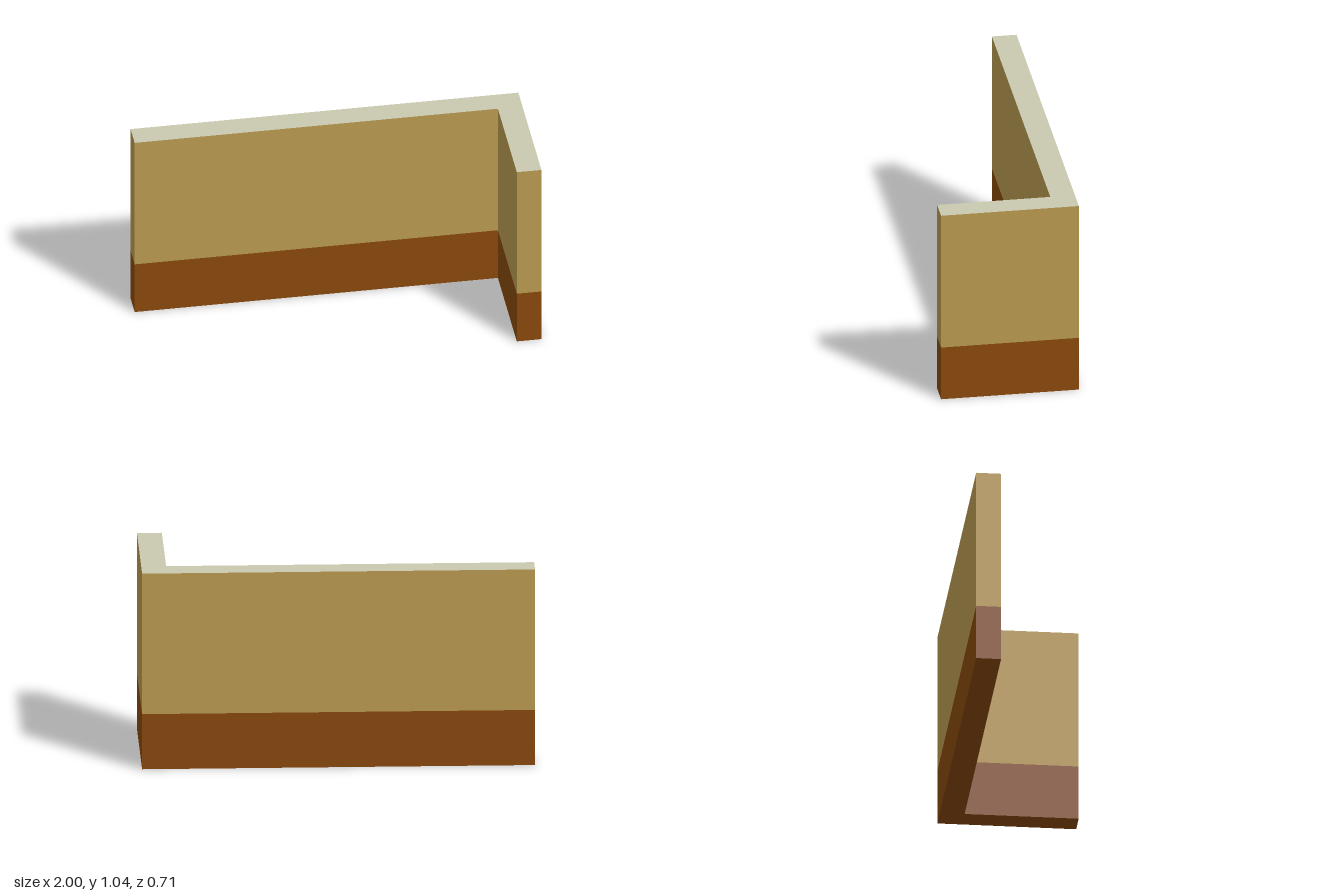
import * as THREE from 'three';

const HEIGHT = 1.04, SPLIT = 0.293, THICK = 0.127, HALF_DEPTH = 0.355;

export function createModel() {
  const paint = (name, color) => {
    const material = new THREE.MeshStandardMaterial({ color });
    material.name = name;
    return material;
  };
  const materials = [
    paint('brown lower wall', 0x8b490c),
    paint('tan upper wall', 0xbd9c52),
    paint('pale wall top', 0xcacab0),
  ];

  // L-shaped plan: long back wall with a short return on the model's left
  const plan = new THREE.Shape([
    [-1, HALF_DEPTH - THICK], [1 - THICK, HALF_DEPTH - THICK],
    [1 - THICK, -HALF_DEPTH], [1, -HALF_DEPTH],
    [1, HALF_DEPTH], [-1, HALF_DEPTH],
  ].map(([x, y]) => new THREE.Vector2(x, y)));
  const geometry = new THREE.ExtrudeGeometry(plan, { depth: HEIGHT, steps: 2, bevelEnabled: false });
  geometry.rotateX(-Math.PI / 2);

  // Slide the middle ring down to the colour boundary
  const pos = geometry.attributes.position;
  for (let i = 0; i < pos.count; i++) {
    if (Math.abs(pos.getY(i) - HEIGHT / 2) < 0.01) pos.setY(i, SPLIT);
  }

  // Colour each triangle by its height: lower band, upper band, top
  geometry.clearGroups();
  for (let i = 0; i < pos.count; i += 3) {
    const ys = [pos.getY(i), pos.getY(i + 1), pos.getY(i + 2)];
    const isTop = Math.min(...ys) > HEIGHT - 0.01;
    const isUpper = Math.max(...ys) > SPLIT + 0.01;
    geometry.addGroup(i, 3, isTop ? 2 : isUpper ? 1 : 0);
  }

  const wall = new THREE.Mesh(geometry, materials);
  wall.name = 'cornerWall';
  const model = new THREE.Group();
  model.name = 'cornerWallModel';
  model.add(wall);
  return model;
}
